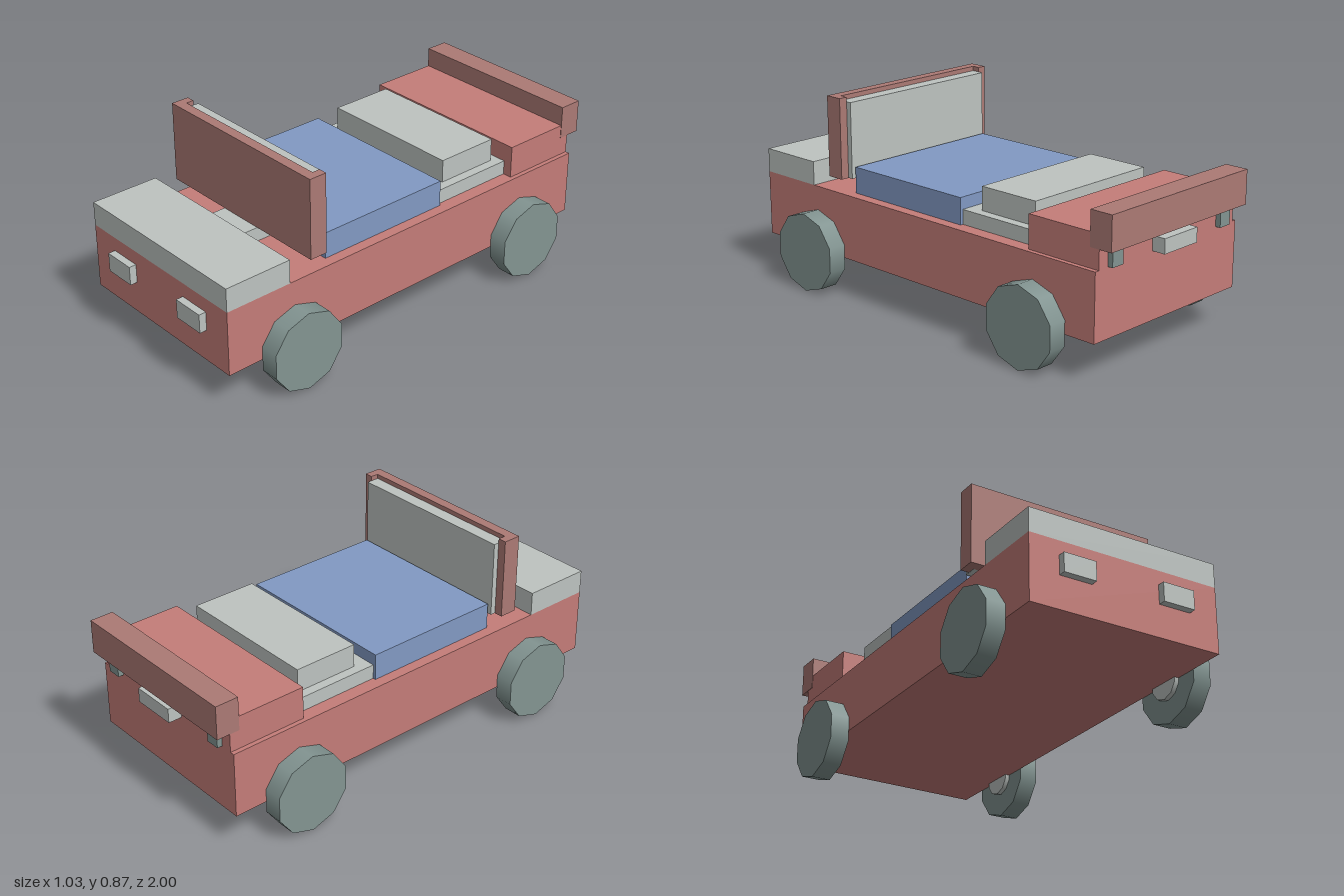
import * as THREE from 'three';

const material = (name, color) => {
  const m = new THREE.MeshStandardMaterial({ color });
  m.name = name;
  return m;
};

export function createModel() {
  const group = new THREE.Group();
  group.name = 'bedCar';

  const red = material('red', 0xc57d79);
  const darkRed = material('darkRed', 0xac7a75);
  const grey = material('lightGrey', 0xbec4c1);
  const tyreGrey = material('tyreGrey', 0x839592);
  const blue = material('blue', 0x829ac4);

  // Box given by its ranges along x, y and z
  const box = (name, mat, [x0, x1], [y0, y1], [z0, z1]) => {
    const mesh = new THREE.Mesh(new THREE.BoxGeometry(x1 - x0, y1 - y0, z1 - z0), mat);
    mesh.position.set((x0 + x1) / 2, (y0 + y1) / 2, (z0 + z1) / 2);
    mesh.name = name;
    group.add(mesh);
  };
  const centred = (name, mat, halfWidth, y, z) => box(name, mat, [-halfWidth, halfWidth], y, z);
  const pair = (name, mat, x0, x1, y, z) => {
    box(name + 'Left', mat, [x0, x1], y, z);
    box(name + 'Right', mat, [-x1, -x0], y, z);
  };

  // Chassis and bonnet
  centred('body', red, 0.433, [0.163, 0.45], [-0.94, 0.968]);
  centred('bonnet', grey, 0.433, [0.45, 0.555], [0.66, 0.968]);
  pair('headlight', grey, 0.155, 0.3, [0.305, 0.388], [0.968, 1]);

  // Upright board with side flanges, inner pad and its connecting bar
  centred('connectingBar', grey, 0.105, [0.45, 0.512], [0.44, 0.66]);
  centred('uprightBoard', darkRed, 0.433, [0.512, 0.865], [0.51, 0.555]);
  pair('boardFlange', darkRed, 0.395, 0.433, [0.512, 0.865], [0.475, 0.51]);
  centred('boardPad', grey, 0.394, [0.512, 0.845], [0.452, 0.51]);

  // Blanket, mattress and pillow
  centred('blanket', blue, 0.385, [0.45, 0.565], [-0.19, 0.44]);
  centred('mattress', grey, 0.372, [0.45, 0.513], [-0.586, -0.19]);
  centred('pillow', grey, 0.33, [0.513, 0.615], [-0.546, -0.256]);

  // Rear deck, raised end rail, brackets and lamp
  centred('rearDeck', red, 0.413, [0.45, 0.593], [-0.94, -0.586]);
  centred('rearRail', darkRed, 0.415, [0.533, 0.68], [-1, -0.896]);
  pair('railBracket', tyreGrey, 0.3, 0.362, [0.453, 0.533], [-0.963, -0.94]);
  centred('rearLamp', grey, 0.1, [0.45, 0.513], [-1, -0.94]);

  // Ten-sided wheels with hubs reaching into the body
  const wheelGeometry = new THREE.CylinderGeometry(0.176, 0.176, 0.083, 10).rotateZ(Math.PI / 2);
  const hubGeometry = new THREE.CylinderGeometry(0.076, 0.076, 0.09, 10).rotateZ(Math.PI / 2);
  // Turn so that a flat side rests on the ground
  wheelGeometry.rotateX(Math.PI / 2);
  hubGeometry.rotateX(Math.PI / 2);
  for (const [end, z] of [['front', 0.638], ['rear', -0.627]]) {
    for (const [side, sign] of [['Left', 1], ['Right', -1]]) {
      const wheel = new THREE.Group();
      wheel.name = end + side + 'Wheel';
      const tyre = new THREE.Mesh(wheelGeometry, tyreGrey);
      tyre.name = 'tyre';
      tyre.position.x = sign * 0.475;
      const hub = new THREE.Mesh(hubGeometry, grey);
      hub.name = 'hub';
      hub.position.x = sign * 0.458;
      wheel.add(tyre, hub);
      wheel.position.set(0, 0.1675, z);
      group.add(wheel);
    }
  }

  return group;
}
